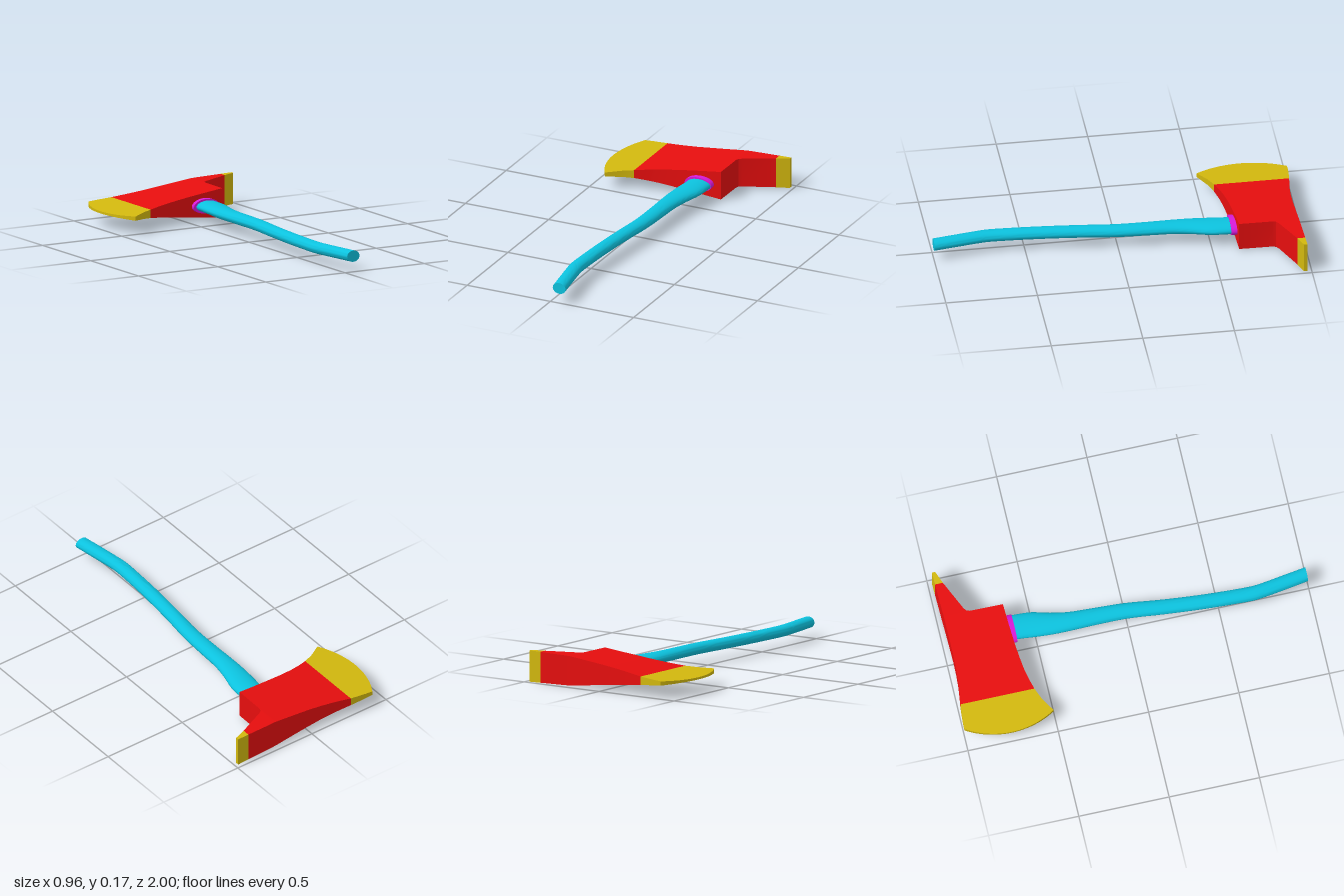
import * as THREE from 'three';
import { toCreasedNormals } from 'three/addons/utils/BufferGeometryUtils.js';

const MID_Y = 0.086; // height of the axe's centre plane

// Skin a list of equal-length rings (counterclockwise about the travel direction) and cap both ends
function loft(rings, crease) {
  const n = rings[0].length;
  const points = rings.flat();
  const index = [];
  for (let i = 0; i < rings.length - 1; i++) {
    for (let j = 0; j < n; j++) {
      const a = i * n + j, b = i * n + (j + 1) % n;
      index.push(a, b, a + n, b, b + n, a + n);
    }
  }
  const last = (rings.length - 1) * n;
  for (let j = 1; j < n - 1; j++) {
    index.push(0, j + 1, j, last, last + j, last + j + 1);
  }
  const geo = new THREE.BufferGeometry().setFromPoints(points);
  geo.setIndex(index);
  return toCreasedNormals(geo, crease);
}

// Half thickness of the head: a wedge from cutting edge to poll
const THICKNESS = [[-0.48, 0.006], [-0.27, 0.023], [0, 0.056], [0.222, 0.081], [0.48, 0.086]];
function halfThickness(x) {
  let k = 1;
  while (k < THICKNESS.length - 1 && x > THICKNESS[k][0]) k++;
  const [x0, h0] = THICKNESS[k - 1], [x1, h1] = THICKNESS[k];
  return THREE.MathUtils.mapLinear(x, x0, x1, h0, h1);
}

// Head piece from stations [x, back z, front z]
function headPiece(stations) {
  return loft(stations.map(([x, zb, zf]) => {
    const h = halfThickness(x);
    return [[-h, zb], [h, zb], [h, zf], [-h, zf]]
      .map(([y, z]) => new THREE.Vector3(x, MID_Y + y, z));
  }), 0.4);
}

// Elliptical ring across z
function ellipse(cx, z, rx, ry, sides = 28) {
  return Array.from({ length: sides }, (_, j) => {
    const t = (j / sides) * Math.PI * 2;
    return new THREE.Vector3(cx + rx * Math.cos(t), MID_Y + ry * Math.sin(t), z);
  });
}

export function createModel() {
  const group = new THREE.Group();
  const add = (name, geometry, color) => {
    const mesh = new THREE.Mesh(geometry, new THREE.MeshStandardMaterial({ color }));
    mesh.name = name;
    group.add(mesh);
  };
  const RED = 0xe60e0e, GOLD = 0xd2b80e, CYAN = 0x0cc2de, MAGENTA = 0xd81ad8;

  // Cutting edge: circular arc, then flared cheeks up to the red head
  const blade = [];
  const R = 0.464, arcX = -0.016, arcZ = -0.752;
  for (let i = 0; i <= 10; i++) {
    const a = THREE.MathUtils.lerp(0.03, 0.56, i / 10);
    const half = R * Math.sin(a);
    blade.push([arcX - R * Math.cos(a), arcZ - half, arcZ + half]);
  }
  blade.push([-0.37, -0.998, -0.53], [-0.33, -0.995, -0.555], [-0.27, -0.99, -0.58]);
  add('bladeEdge', headPiece(blade), GOLD);

  // Head body, with the step and small fillet under the poll
  add('headBody', headPiece([
    [-0.27, -0.99, -0.58], [-0.21, -0.981, -0.598], [-0.15, -0.974, -0.611],
    [-0.08, -0.969, -0.621], [0, -0.967, -0.629], [0.11, -0.968, -0.637],
    [0.22, -0.97, -0.643], [0.222, -0.97, -0.825], [0.228, -0.97, -0.843],
    [0.245, -0.971, -0.856], [0.41, -0.975, -0.932],
  ]), RED);

  // Poll tip
  add('pollTip', headPiece([[0.41, -0.975, -0.932], [0.48, -0.977, -0.959]]), GOLD);

  // Collar where the handle enters the head
  add('collar', loft([
    ellipse(0.1, -0.7, 0.08, 0.04), ellipse(0.1, -0.607, 0.08, 0.04),
  ], 0.6), MAGENTA);

  // Curved handle: [z, right x, left x]
  const profile = [
    [-0.66, 0.038, 0.176], [-0.58, 0.034, 0.175], [-0.5, 0.026, 0.169], [-0.4, 0.02, 0.143],
    [-0.3, 0.02, 0.125], [-0.18, 0.022, 0.118], [0, 0.02, 0.108], [0.2, 0, 0.083],
    [0.4, -0.017, 0.064], [0.58, -0.027, 0.053], [0.7, -0.03, 0.05], [0.76, -0.023, 0.056],
    [0.88, -0.005, 0.074], [1, 0.014, 0.092],
  ];
  const rail = new THREE.CatmullRomCurve3(
    profile.map(([z, x0, x1]) => new THREE.Vector3((x0 + x1) / 2, (x1 - x0) / 2, z)));
  const rings = rail.getPoints(52).map((p) => ellipse(p.x, p.z, p.y, 0.031));
  add('handle', loft(rings, 0.6), CYAN);

  return group;
}
